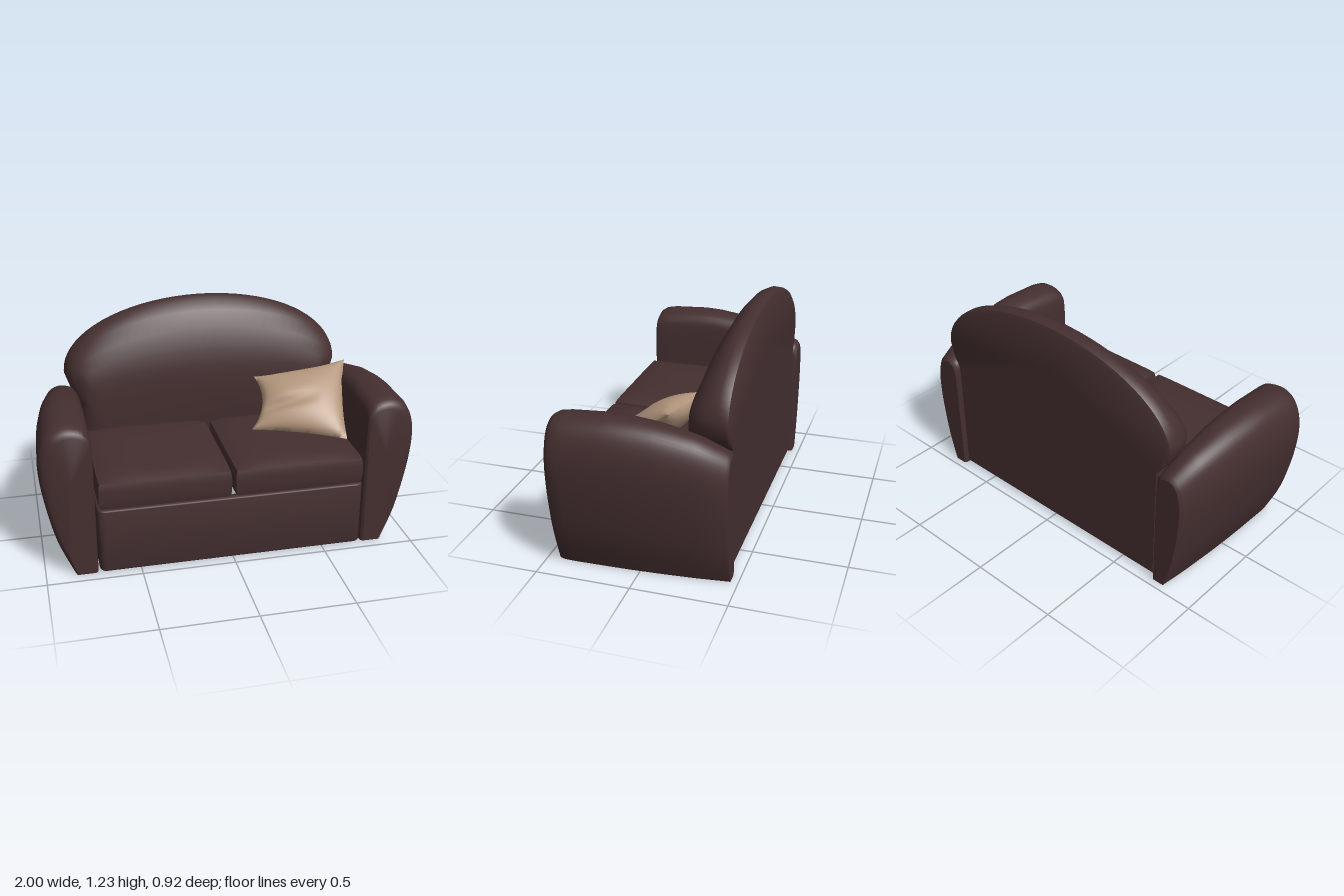
import * as THREE from 'three';
import { toCreasedNormals } from 'three/addons/utils/BufferGeometryUtils.js';

// Skin counter-clockwise rings ordered from back to front, with fan caps
function loft(rings, crease = 0.6) {
  const n = rings[0].length;
  const pos = [], index = [];
  rings.forEach(r => r.forEach(p => pos.push(p.x, p.y, p.z)));
  for (let i = 0; i < rings.length - 1; i++) {
    for (let j = 0; j < n; j++) {
      const k = (j + 1) % n;
      const a = i * n + j, b = i * n + k;
      index.push(a, b, b + n, a, b + n, a + n);
    }
  }
  [0, rings.length - 1].forEach((row, end) => {
    const c = new THREE.Vector3();
    rings[row].forEach(p => c.addScaledVector(p, 1 / n));
    const ci = pos.length / 3;
    pos.push(c.x, c.y, c.z);
    for (let j = 0; j < n; j++) {
      const a = row * n + j, b = row * n + (j + 1) % n;
      if (end) index.push(ci, a, b); else index.push(ci, b, a);
    }
  });
  const g = new THREE.BufferGeometry();
  g.setAttribute('position', new THREE.Float32BufferAttribute(pos, 3));
  g.setIndex(index);
  return toCreasedNormals(g, crease);
}

// Move every vertex of a geometry by a rule
function reshape(g, rule) {
  const p = g.attributes.position, v = new THREE.Vector3();
  for (let i = 0; i < p.count; i++) {
    rule(v.fromBufferAttribute(p, i));
    p.setXYZ(i, v.x, v.y, v.z);
  }
  return g;
}

// Flared arm: one outline, narrowed and lowered towards the rear
function armGeometry(side) {
  const outline = new THREE.SplineCurve([
    [0.85, 0], [0.93, 0.2], [0.98, 0.42], [1, 0.6], [0.99, 0.72], [0.95, 0.81], [0.88, 0.85],
    [0.8, 0.845], [0.745, 0.81], [0.727, 0.72], [0.725, 0.4], [0.725, 0],
  ].map(([x, y]) => new THREE.Vector2(x, y))).getPoints(44);
  // z, outer x, top y, inset of the inner side
  const stations = [
    [-0.46, 0.88, 0.69, 0.01], [-0.445, 0.895, 0.71, 0], [-0.3, 0.932, 0.775, 0], [-0.1, 0.966, 0.825, 0],
    [0.05, 0.984, 0.843, 0], [0.15, 0.991, 0.847, 0], [0.35, 1, 0.835, 0], [0.405, 0.995, 0.825, 0],
    [0.43, 0.975, 0.808, 0.004], [0.44, 0.945, 0.785, 0.015],
  ];
  return loft(stations.map(([z, outer, top, inset]) => {
    const inner = 0.725 + inset;
    const ring = outline.map(p => new THREE.Vector3(
      side * (inner + (p.x - 0.725) * (outer - inner) / 0.275), Math.max(0, p.y) * top / 0.85, z));
    return side > 0 ? ring : ring.reverse();
  }));
}

// Domed backrest, flat behind and swelling forward
function backGeometry() {
  // z, half width, top y, bottom y
  const stations = [
    [-0.44, 0.765, 1.195, 0.02], [-0.43, 0.785, 1.215, 0.01], [-0.415, 0.79, 1.222, 0.005],
    [-0.38, 0.79, 1.225, 0.01], [-0.34, 0.786, 1.205, 0.2], [-0.3, 0.775, 1.16, 0.35],
    [-0.25, 0.748, 1.07, 0.37], [-0.215, 0.7, 0.96, 0.38], [-0.2, 0.66, 0.88, 0.39], [-0.195, 0.6, 0.82, 0.4],
  ];
  return loft(stations.map(([z, w, top, bottom]) => {
    const base = Math.min(0.82, top - 0.12);
    const b = Math.min(0.715, w * 0.98);
    const ring = [[-b, bottom], [b, bottom], [b, base - 0.14], [(b + w) / 2 + 0.01, base - 0.08]];
    for (let i = 0; i <= 36; i++) {
      const a = Math.PI * i / 36;
      ring.push([w * Math.cos(a), base + (top - base) * Math.sin(a)]);
    }
    ring.push([-(b + w) / 2 - 0.01, base - 0.08], [-b, base - 0.14]);
    return ring.map(([x, y]) => new THREE.Vector3(x, y, z));
  }));
}

// Seat cushion with a crowned top and softly bulging sides
function cushionGeometry(side) {
  const g = reshape(new THREE.BoxGeometry(2, 2, 2, 20, 6, 20), v => {
    const { x: u, y: h, z: w } = v;
    const soft = 1 - 0.02 * h ** 4;
    const crown = 0.03 * (1 - u ** 6) * (1 - w ** 6);
    const corner = 1 - 0.012 * (u * w) ** 8;
    v.x = side * 0.36 + 0.353 * u * soft * corner;
    v.z = 0.1 + 0.355 * w * soft * corner;
    v.y = 0.447 + 0.072 * h + (h > 0 ? crown * h : 0);
  });
  return toCreasedNormals(g, 0.6);
}

// Hollow base with rounded corners, open underneath
function baseGeometry() {
  const roundRect = (path, x, y0, y1, r) => {
    path.moveTo(x - r, y0);
    path.quadraticCurveTo(x, y0, x, y0 + r);
    path.lineTo(x, y1 - r);
    path.quadraticCurveTo(x, y1, x - r, y1);
    path.lineTo(-x + r, y1);
    path.quadraticCurveTo(-x, y1, -x, y1 - r);
    path.lineTo(-x, y0 + r);
    path.quadraticCurveTo(-x, y0, -x + r, y0);
    path.closePath();
    return path;
  };
  const shape = roundRect(new THREE.Shape(), 0.708, -0.443, 0.41, 0.03);
  shape.holes.push(roundRect(new THREE.Path(), 0.68, -0.415, 0.39, 0.02));
  const g = new THREE.ExtrudeGeometry(shape, {
    depth: 0.34, bevelThickness: 0.01, bevelSize: 0.01, bevelSegments: 3, curveSegments: 6,
  });
  g.rotateX(-Math.PI / 2).translate(0, 0.018, 0);
  return toCreasedNormals(g, 0.6);
}

// Loose pillow: four pinched corners, puffed middle and a soft fold
function pillowGeometry() {
  const V = (x, y, z) => new THREE.Vector3(x, y, z);
  const topLeft = V(0.27, 0.775, -0.19), topRight = V(0.785, 0.86, -0.13);
  const lowLeft = V(0.2, 0.56, 0.05), lowRight = V(0.68, 0.55, 0.27);
  const normal = V(-0.049, 0.172, 0.127).normalize();
  const g = reshape(new THREE.BoxGeometry(2, 2, 2, 24, 24, 1), v => {
    const u0 = v.x, v0 = v.y, s = v.z;
    const pinch = u0 < 0 ? 0.2 : 0.07;
    const u = u0 * (1 - pinch * (1 - v0 * v0) * Math.abs(u0));
    const w = v0 * (1 - 0.07 * (1 - u0 * u0) * Math.abs(v0));
    const puff = 0.004 + 0.085 * Math.pow((1 - u0 * u0) * (1 - v0 * v0), 0.55);
    const fold = s > 0 ? 0.035 * Math.exp(-(((v0 + 0.15 - 0.25 * u0) / 0.16) ** 2))
      * Math.max(0, 0.5 - u0) * (1 - u0 * u0) : 0;
    const low = lowLeft.clone().lerp(lowRight, (u + 1) / 2);
    const high = topLeft.clone().lerp(topRight, (u + 1) / 2);
    v.copy(low.lerp(high, (w + 1) / 2)).addScaledVector(normal, s * puff - fold);
  });
  return toCreasedNormals(g, 1);
}

export function createModel() {
  const upholstery = new THREE.MeshStandardMaterial({ color: 0x452f30 });
  upholstery.name = 'dark brown upholstery';
  const linen = new THREE.MeshStandardMaterial({ color: 0xb3967d });
  linen.name = 'tan linen';

  const sofa = new THREE.Group();
  sofa.name = 'sofa';
  const add = (name, geometry, material = upholstery) => {
    const mesh = new THREE.Mesh(geometry, material);
    mesh.name = name;
    sofa.add(mesh);
  };

  add('base', baseGeometry());
  add('backrest', backGeometry());
  for (const [label, side] of [['left', 1], ['right', -1]]) {
    add(label + 'Arm', armGeometry(side));
    add(label + 'SeatCushion', cushionGeometry(side));
  }
  add('pillow', pillowGeometry(), linen);
  return sofa;
}
